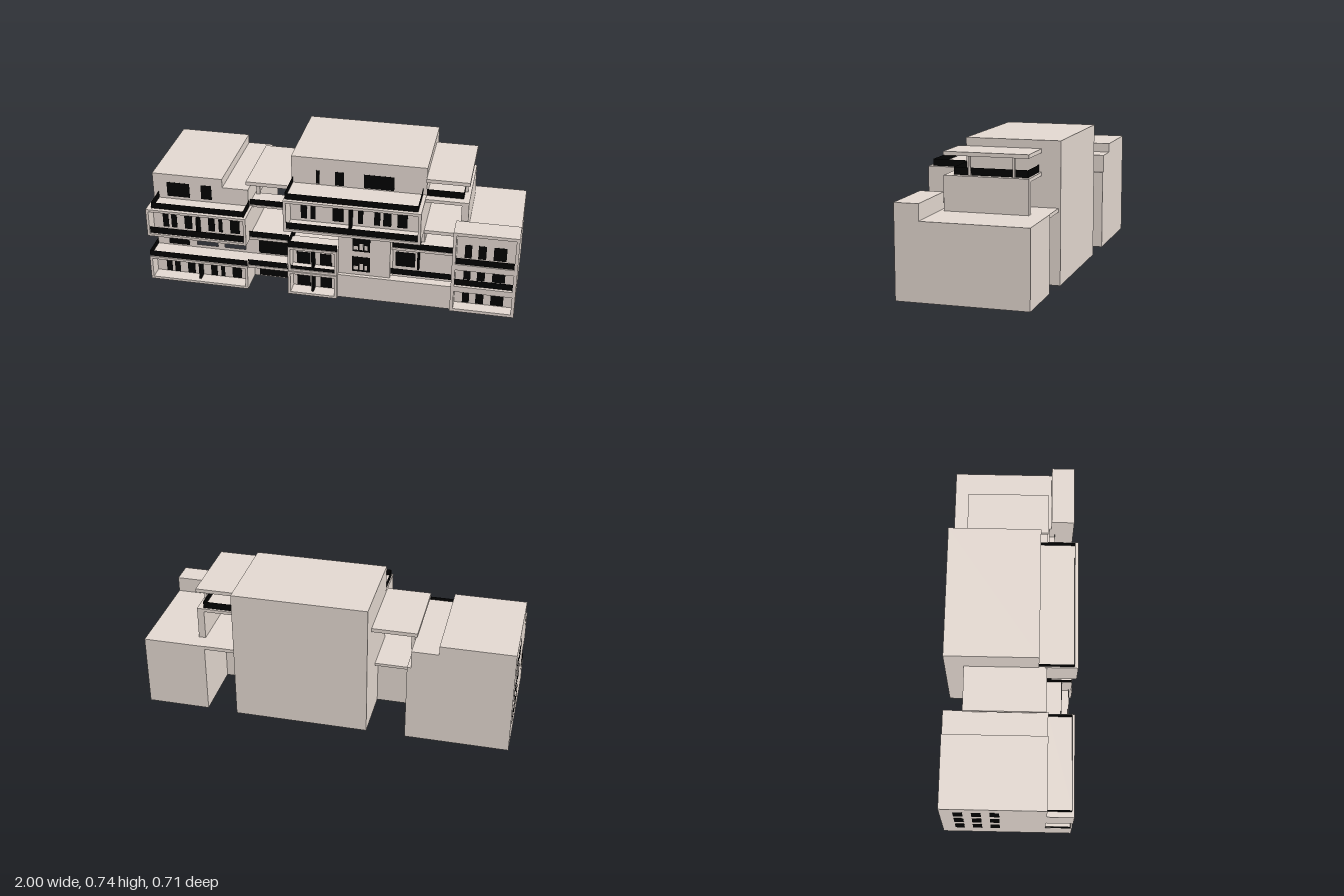
import * as THREE from 'three';

export function createModel() {
  const model = new THREE.Group();
  const wall = new THREE.MeshStandardMaterial({ color: 0xe6dbd3, side: THREE.DoubleSide });
  wall.name = 'warm grey plaster';
  const dark = new THREE.MeshStandardMaterial({ color: 0x010101, side: THREE.DoubleSide });
  dark.name = 'black glass and metal';

  const add = (name, geo, mat, parent = model) => {
    const mesh = new THREE.Mesh(geo, mat);
    mesh.name = name;
    parent.add(mesh);
    return mesh;
  };
  const group = (name) => {
    const g = new THREE.Group();
    g.name = name;
    model.add(g);
    return g;
  };
  const boxGeo = (x0, x1, y0, y1, z0, z1) =>
    new THREE.BoxGeometry(x1 - x0, y1 - y0, z1 - z0)
      .translate((x0 + x1) / 2, (y0 + y1) / 2, (z0 + z1) / 2);
  const box = (p, name, x0, x1, y0, y1, z0, z1, mat = wall) =>
    add(name, boxGeo(x0, x1, y0, y1, z0, z1), mat, p);
  // Single upright wall face at depth z
  const face = (p, name, x0, x1, y0, y1, z) =>
    add(name, new THREE.PlaneGeometry(x1 - x0, y1 - y0).translate((x0 + x1) / 2, (y0 + y1) / 2, z), wall, p);
  const rectPoints = (x0, x1, y0, y1) =>
    [[x0, y0], [x1, y0], [x1, y1], [x0, y1]].map(([x, y]) => new THREE.Vector2(x, y));

  // Hollow block without the listed sides (0 +x, 1 -x, 2 +y, 3 -y, 4 +z, 5 -z)
  const hull = (p, name, x0, x1, y0, y1, z0, z1, skip = [3]) => {
    const geo = boxGeo(x0, x1, y0, y1, z0, z1);
    const index = Array.from(geo.index.array).filter((v, i) => !skip.includes(Math.floor(i / 6)));
    geo.setIndex(index);
    geo.clearGroups();
    return add(name, geo, wall, p);
  };
  // Projecting frame around a balcony whose back wall stands at zr
  const frame = (p, name, x0, x1, y0, y1, z0, zr, z1, t = 0.014) => {
    box(p, name + 'Floor', x0, x1, y0, y0 + t, y0 === 0 ? zr : z0, z1);
    box(p, name + 'Ceiling', x0, x1, y1 - t, y1, z0, z1);
    box(p, name + 'RightSide', x0, x0 + t, y0, y1 - t, z0, z1);
    box(p, name + 'LeftSide', x1 - t, x1, y0, y1 - t, z0, z1);
    face(p, name + 'BackWall', x0 + t, x1 - t, y0, y1 - t, zr);
  };
  // Row of dark panes on a front wall
  const windows = (p, spans, y0, y1, z) => {
    for (const [a, b] of spans) box(p, 'window', a, b, y0, y1, z - 0.001, z + 0.001, dark);
  };
  const rail = (p, x0, x1, y0, y1, z) => box(p, 'railing', x0, x1, y0, y1, z - 0.0005, z + 0.0005, dark);
  const sideRail = (p, x, y0, y1, z0, z1) =>
    box(p, 'sideRailing', x - 0.0005, x + 0.0005, y0, y1, z0, z1, dark);

  // Terraced wing at the -x end: its front opens into two frames and has two holes between them
  const west = group('terracedWing');
  hull(west, 'lowerBlock', -1, -0.445, 0, 0.44, -0.355, 0.2, [3, 4]);
  const front = new THREE.Shape(rectPoints(-1, -0.445, 0.135, 0.44));
  for (const [a, b, c, d] of [[-0.77, -0.65, 0.16, 0.235], [-0.61, -0.49, 0.16, 0.235], [-0.986, -0.459, 0.29, 0.426]]) {
    front.holes.push(new THREE.Path(rectPoints(a, b, c, d)));
  }
  add('lowerFrontWall', new THREE.ShapeGeometry(front).translate(0, 0, 0.2), wall, west);
  hull(west, 'upperBlock', -1, -0.608, 0.44, 0.588, -0.355, 0.2);
  hull(west, 'upperStep', -0.608, -0.465, 0.44, 0.538, -0.355, 0.2);
  frame(west, 'groundFrame', -1, -0.445, 0, 0.143, 0.2, 0.27, 0.344);
  frame(west, 'upperFrame', -1, -0.445, 0.276, 0.44, 0.2, 0.27, 0.344);
  const westPanes = [[-0.933, -0.9], [-0.885, -0.853], [-0.81, -0.767], [-0.676, -0.639], [-0.618, -0.596], [-0.553, -0.5]];
  windows(west, westPanes, 0.015, 0.092, 0.27);
  windows(west, westPanes, 0.3, 0.38, 0.27);
  windows(west, [[-0.933, -0.815]], 0.15, 0.235, 0.2);
  windows(west, [[-0.922, -0.794], [-0.73, -0.67]], 0.455, 0.54, 0.2);
  for (const y of [0.014, 0.292]) box(west, 'balconyDivider', -0.73, -0.72, y, y + 0.11, 0.27, 0.32, dark);
  rail(west, -1, -0.445, 0.143, 0.177, 0.335);
  sideRail(west, -0.998, 0.143, 0.177, 0.2, 0.335);
  rail(west, -0.986, -0.459, 0.292, 0.33, 0.335);
  rail(west, -0.97, -0.46, 0.445, 0.48, 0.33);
  for (const x of [-0.97, -0.46]) sideRail(west, x, 0.44, 0.48, 0.2, 0.33);
  // Side windows in three rows
  for (const y of [0.115, 0.265, 0.415]) {
    for (const z of [-0.26, -0.165, -0.07]) {
      box(west, 'sideWindow', -1.001, -0.999, y, y + 0.1, z - 0.025, z + 0.025, dark);
    }
  }

  // Link between the terraced wing and the central block
  const link = group('westLink');
  hull(link, 'linkBody', -0.445, -0.235, 0, 0.28, -0.05, 0.2);
  box(link, 'lowerSlab', -0.445, -0.22, 0.128, 0.143, 0.2, 0.325);
  box(link, 'upperSlab', -0.445, -0.22, 0.28, 0.295, -0.135, 0.28);
  windows(link, [[-0.415, -0.254]], 0.005, 0.096, 0.2);
  windows(link, [[-0.415, -0.254]], 0.15, 0.23, 0.2);
  rail(link, -0.445, -0.225, 0.143, 0.177, 0.32);
  rail(link, -0.445, -0.225, 0.295, 0.33, 0.275);
  box(link, 'terraceFloor', -0.465, -0.235, 0.432, 0.444, 0.05, 0.19);
  rail(link, -0.46, -0.235, 0.444, 0.478, 0.186);
  box(link, 'pergolaRoof', -0.478, -0.235, 0.562, 0.583, -0.25, 0.19);
  for (const z of [-0.17, 0.06]) box(link, 'pergolaPost', -0.455, -0.435, 0.44, 0.562, z - 0.008, z + 0.008);

  // Central block with its overhanging balcony and penthouse
  const mid = group('centralBlock');
  hull(mid, 'lowerBody', -0.235, 0.493, 0, 0.4, -0.352, 0.147, [2, 3, 4]);
  face(mid, 'terraceWall', -0.235, 0.05, 0.285, 0.4, 0.147);
  face(mid, 'linkWall', 0.33, 0.493, 0.28, 0.4, 0.147);
  hull(mid, 'upperBody', -0.235, 0.493, 0.4, 0.742, -0.352, 0.147);
  frame(mid, 'overhangFrame', -0.235, 0.493, 0.4, 0.585, 0.147, 0.25, 0.355, 0.015);
  windows(mid, [[-0.163, -0.13], [-0.11, -0.083], [0.008, 0.067], [0.147, 0.174], [0.233, 0.265], [0.281, 0.324], [0.356, 0.41]], 0.43, 0.51, 0.25);
  box(mid, 'balconyDivider', 0.104, 0.118, 0.415, 0.535, 0.25, 0.3, dark);
  rail(mid, -0.22, 0.477, 0.415, 0.453, 0.348);
  windows(mid, [[-0.1, -0.083], [0.003, 0.05], [0.158, 0.32]], 0.59, 0.67, 0.147);
  rail(mid, -0.228, 0.473, 0.585, 0.62, 0.335);
  for (const x of [-0.228, 0.473]) sideRail(mid, x, 0.585, 0.62, 0.147, 0.335);

  // Two-storey bay under the overhang
  const bay = group('frontBay');
  hull(bay, 'bayBody', -0.22, 0.05, 0, 0.285, 0.147, 0.21, [3, 4, 5]);
  frame(bay, 'groundFrame', -0.22, 0.05, 0, 0.143, 0.21, 0.27, 0.344);
  frame(bay, 'upperFrame', -0.22, 0.05, 0.143, 0.292, 0.21, 0.27, 0.337);
  const bayPanes = [[-0.185, -0.11], [-0.056, 0.008]];
  windows(bay, bayPanes, 0.015, 0.096, 0.27);
  windows(bay, bayPanes, 0.157, 0.23, 0.27);
  windows(bay, [[-0.195, -0.1], [-0.08, 0.013]], 0.3, 0.38, 0.147);
  for (const y of [0.014, 0.157]) box(bay, 'balconyDivider', -0.094, -0.083, y, y + 0.11, 0.27, 0.32, dark);
  box(bay, 'terraceDivider', -0.22, -0.21, 0.292, 0.395, 0.147, 0.22, dark);
  rail(bay, -0.206, 0.036, 0.143, 0.177, 0.332);
  rail(bay, -0.22, 0.05, 0.292, 0.33, 0.332);
  sideRail(bay, -0.218, 0.292, 0.33, 0.147, 0.332);

  // Stair tower with pale screens in its windows, and the low wall beside it
  const tower = group('stairTower');
  hull(tower, 'towerBody', 0.05, 0.33, 0, 0.4, 0.147, 0.3, [3, 5]);
  for (const y of [0.163, 0.288]) {
    windows(tower, [[0.126, 0.222]], y, y + 0.092, 0.3);
    for (const [x, w, h] of [[0.133, 0.025, 0.022], [0.165, 0.02, 0.038], [0.193, 0.014, 0.028]]) {
      box(tower, 'windowScreen', x, x + w, y + 0.012, y + 0.012 + h, 0.3, 0.3025);
    }
  }
  box(tower, 'lowWall', 0.05, 0.66, 0, 0.142, 0.27, 0.32);

  // Link between the tower and the end block
  const east = group('eastLink');
  hull(east, 'linkBody', 0.33, 0.66, 0, 0.28, 0.0, 0.2);
  box(east, 'upperSlab', 0.33, 0.66, 0.28, 0.295, 0, 0.235);
  rail(east, 0.33, 0.66, 0.295, 0.33, 0.232);
  rail(east, 0.33, 0.66, 0.155, 0.19, 0.275);
  windows(east, [[0.345, 0.452]], 0.16, 0.25, 0.2);
  box(east, 'lowerDivider', 0.465, 0.476, 0.16, 0.26, 0.2, 0.225, dark);
  box(east, 'upperDivider', 0.465, 0.476, 0.295, 0.395, 0.147, 0.2, dark);
  box(east, 'roofSlab', 0.493, 0.66, 0.38, 0.4, -0.34, 0.2);

  // Roof terrace with a canopy
  const terrace = group('roofTerrace');
  box(terrace, 'terraceFloor', 0.493, 0.72, 0.562, 0.58, -0.252, 0.187);
  box(terrace, 'supportWall', 0.682, 0.72, 0.4, 0.562, -0.252, 0.187);
  box(terrace, 'canopy', 0.493, 0.72, 0.679, 0.699, -0.252, 0.187);
  for (const z of [-0.169, 0.059]) box(terrace, 'canopyPost', 0.688, 0.702, 0.58, 0.679, z - 0.006, z + 0.006);
  for (const z of [-0.239, 0.144]) rail(terrace, 0.493, 0.687, 0.58, 0.618, z);
  sideRail(terrace, 0.687, 0.58, 0.618, -0.239, 0.144);

  // End block with three stacked balconies
  const end = group('endBlock');
  hull(end, 'endBody', 0.66, 1, 0, 0.4, -0.342, 0.21, [3, 4]);
  face(end, 'parapetBack', 0.66, 1, 0.4, 0.485, 0.21);
  [[0, 0.142], [0.142, 0.278], [0.278, 0.485]].forEach(([y0, y1]) =>
    frame(end, 'balconyFrame', 0.66, 1, y0, y1, 0.21, 0.27, 0.337, 0.017));
  const endPanes = [[0.719, 0.756], [0.79, 0.832], [0.87, 0.938]];
  for (const y of [0.02, 0.165, 0.3]) windows(end, endPanes, y, y + 0.08, 0.27);
  for (const y of [0.167, 0.297]) rail(end, 0.677, 0.983, y, y + 0.036, 0.332);

  return model;
}
